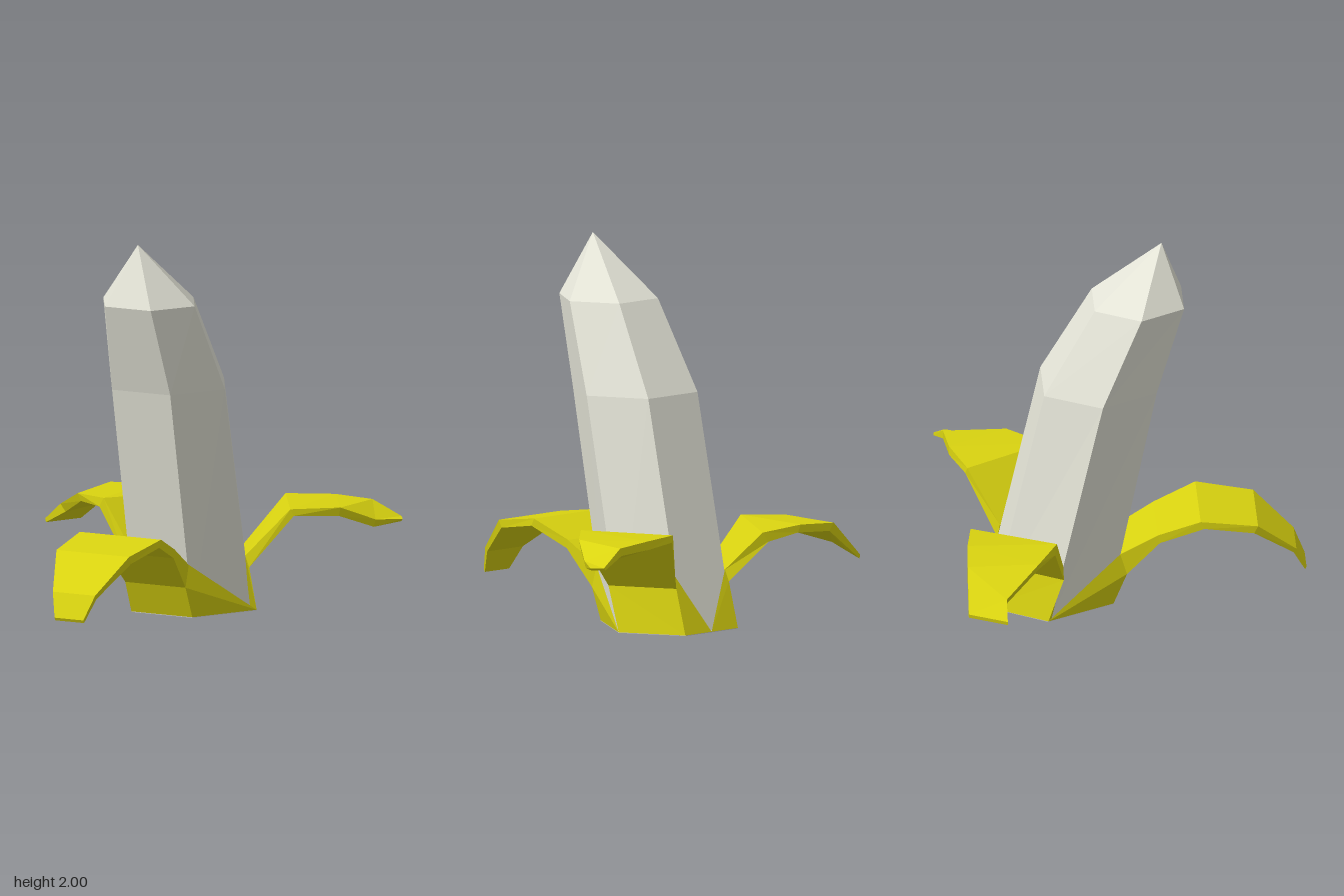
import * as THREE from 'three';
import { ConvexGeometry } from 'three/addons/geometries/ConvexGeometry.js';

const CX = 0.016; // the body sits slightly off centre
const material = (color) => new THREE.MeshStandardMaterial({ color, flatShading: true });
const vec = (p) => new THREE.Vector3(...p);
const add = (a, b) => a.map((v, i) => v + b[i]);
const mirror = ([x, y, z]) => [2 * CX - x, y, z];

// Closed skin through rings of equal point count, with both ends capped
function loft(rings) {
  const n = rings[0].length, tris = [];
  for (let r = 0; r < rings.length - 1; r++) {
    for (let i = 0; i < n; i++) {
      const j = (i + 1) % n;
      const [a, b, c, d] = [rings[r][i], rings[r][j], rings[r + 1][j], rings[r + 1][i]];
      tris.push([a, b, c], [a, c, d]);
    }
  }
  const first = rings[0], last = rings[rings.length - 1];
  for (let i = 1; i < n - 1; i++) {
    tris.push([first[0], first[i + 1], first[i]], [last[0], last[i], last[i + 1]]);
  }
  // signed volume tells whether the skin faces outwards
  const volume = tris.reduce((s, [a, b, c]) => s + vec(a).dot(vec(b).cross(vec(c))), 0);
  if (volume < 0) tris.forEach((t) => t.reverse());
  const geometry = new THREE.BufferGeometry();
  geometry.setAttribute('position', new THREE.Float32BufferAttribute(tris.flat(2), 3));
  geometry.computeVertexNormals();
  return geometry;
}

// Six-sided ring with flat front and back
function hexRing(y, front, middle, back, half, side) {
  return [[half, y, front], [side, y, middle], [half, y, back],
    [-half, y, back], [-side, y, middle], [-half, y, front]].map((p) => add(p, [CX, 0, 0]));
}

export function createModel() {
  const group = new THREE.Group();
  const yellow = material(0xd9d310);
  const mesh = (name, geometry, mat, parent = group) => {
    const m = new THREE.Mesh(geometry, mat);
    m.name = name;
    parent.add(m);
  };

  // Leaning fruit with a pointed top
  mesh('flesh', loft([
    hexRing(0.002, -0.09, -0.41, -0.705, 0.172, 0.347),
    hexRing(1.21, 0.155, -0.135, -0.43, 0.172, 0.337),
    hexRing(1.675, 0.3, 0.07, -0.165, 0.135, 0.27),
    hexRing(1.995, 0.19, 0.19, 0.19, 0, 0),
  ]), material(0xe6e6d9));

  // Grey cut surface underneath
  const base = hexRing(0, -0.07, -0.42, -0.73, 0.18, 0.37);
  mesh('cutBase', loft([base, base.map((p) => [p[0], 0.003, p[2]])]), material(0xcccccc));

  // Section order: inner edge pair, then outer edge pair
  const section = (a, b, offset) => [a, b, add(b, offset), add(a, offset)];
  const wedge = (parent, ...points) =>
    mesh('peelWedge', new ConvexGeometry(points.map(vec)), yellow, parent);

  // Front peel, symmetric: [inner y, inner z, outer y, outer z, half width]
  const front = new THREE.Group();
  front.name = 'frontPeel';
  const frontRings = [
    [0.003, -0.1, 0.003, -0.07, 0.18], [0.285, -0.035, 0.17, 0, 0.178],
    [0.4, 0.16, 0.355, 0.17, 0.2], [0.49, 0.38, 0.45, 0.4, 0.24],
    [0.445, 0.68, 0.405, 0.66, 0.215], [0.265, 0.885, 0.245, 0.87, 0.125],
    [0.14, 0.94, 0.125, 0.932, 0.085],
  ].map(([yi, zi, yo, zo, w]) =>
    [[CX - w, yi, zi], [CX + w, yi, zi], [CX + w, yo, zo], [CX - w, yo, zo]]);
  mesh('frontPeelStrip', loft(frontRings), yellow, front);
  const notch = [CX + 0.37, 0.003, -0.42];
  const corner = [frontRings[0][2], frontRings[1][2], frontRings[1][1], notch];
  wedge(front, ...corner);
  wedge(front, ...corner.map(mirror));
  group.add(front);

  // Foot shared by the two rear peels, given for the left side
  const foot = [
    [[0.355, 0.003, -0.4], [0.185, 0.003, -0.7], [0.2, 0.003, -0.73], [0.386, 0.003, -0.42]],
    [[0.362, 0.3, -0.34], [0.19, 0.3, -0.64], [0.2, 0.24, -0.66], [0.386, 0.24, -0.34]],
  ];
  const backNotch = [CX, 0.003, -0.73];

  function rearPeel(name, side, sections) {
    const peel = new THREE.Group();
    peel.name = name;
    const place = (p) => (side > 0 ? p : mirror(p));
    const start = foot.map((ring) => ring.map(place));
    mesh(name + 'Strip', loft([...start, ...sections.map((s) => section(...s))]), yellow, peel);
    wedge(peel, start[0][2], start[1][2], start[1][1], backNotch);
    group.add(peel);
  }

  // Each section: front edge, back edge, offset to the outer skin
  rearPeel('leftRearPeel', 1, [
    [[0.61, 0.56, -0.375], [0.35, 0.555, -0.8], [0.015, -0.035, -0.01]],
    [[0.8, 0.555, -0.57], [0.6, 0.56, -0.88], [-0.01, -0.045, 0]],
    [[0.915, 0.475, -0.74], [0.81, 0.548, -0.9], [-0.01, -0.04, 0]],
    [[1, 0.462, -0.88], [0.96, 0.465, -0.94], [-0.01, -0.012, 0]],
  ]);
  rearPeel('rightRearPeel', -1, [
    [[-0.5, 0.522, -0.385], [-0.26, 0.505, -0.82], [-0.03, -0.05, -0.01]],
    [[-0.71, 0.512, -0.49], [-0.5, 0.525, -0.85], [0.02, -0.04, 0]],
    [[-0.91, 0.41, -0.67], [-0.72, 0.512, -0.862], [0.03, -0.04, 0]],
    [[-1, 0.325, -0.67], [-0.9, 0.325, -0.867], [0.005, -0.02, 0]],
  ]);

  return group;
}
